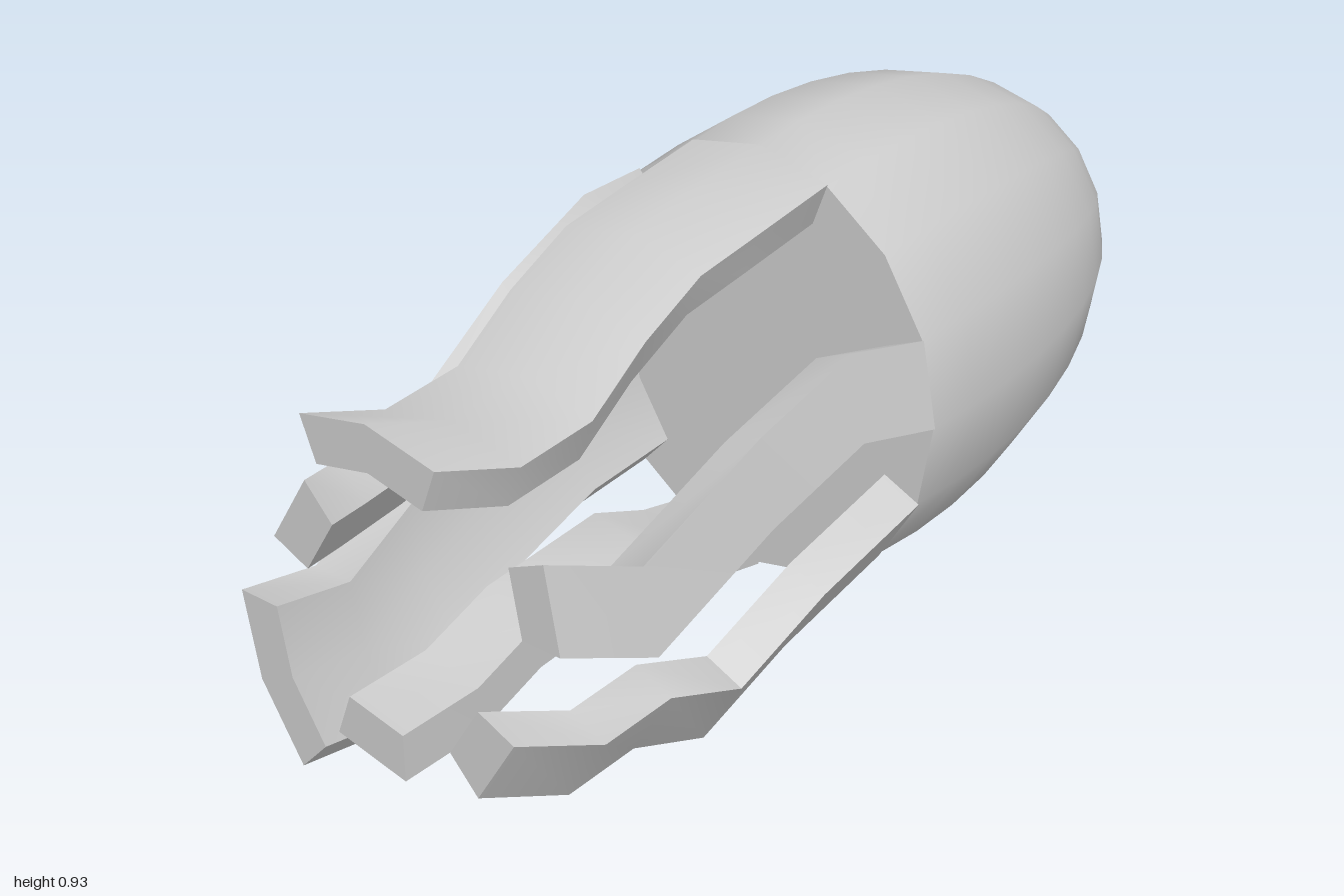
import * as THREE from 'three';
import { toCreasedNormals } from 'three/addons/utils/BufferGeometryUtils.js';

const CY = 0.485;      // height of the body axis
const RIM_X = 0.04;    // plane where the arms leave the body
const STEP = Math.PI / 8;
const material = new THREE.MeshStandardMaterial({ color: 0xcccccc, side: THREE.DoubleSide });

function addMesh(group, name, geometry, crease) {
  const mesh = new THREE.Mesh(toCreasedNormals(geometry, crease), material);
  mesh.name = name;
  group.add(mesh);
}

// Egg-shaped body, closed at the rim by a flat face
function bodyGeometry() {
  const profile = [new THREE.Vector2(0, RIM_X)];
  const start = Math.acos((RIM_X - 0.2) / 0.8);
  for (let i = 0; i <= 12; i++) {
    const t = start * (1 - i / 12);
    profile.push(new THREE.Vector2(Math.max(0, Math.sin(t)), 0.2 + 0.8 * Math.cos(t)));
  }
  const geo = new THREE.LatheGeometry(profile, 16);
  geo.rotateZ(-Math.PI / 2);
  geo.scale(1, 0.45, 0.405);
  geo.translate(0, CY, 0);
  return geo;
}

// Arm: a slice of the rim ring, from step k0 to k1 (0 = top, growing towards +z),
// swept through stations [x, dy, dz]
function armGeometry(k0, k1, stations) {
  const section = [];
  const put = (k, s) => section.push([
    CY + 0.445 * s * Math.cos(k * STEP), 0.4 * s * Math.sin(k * STEP)]);
  for (let k = k0; k <= k1; k++) put(k, 1);
  for (let k = k1; k >= k0; k--) put(k, 0.79);

  const n = section.length, positions = [], index = [];
  for (const [x, dy, dz] of stations)
    for (const [y, z] of section) positions.push(x, y + dy, z + dz);

  for (let i = 0; i < stations.length - 1; i++) {
    for (let j = 0; j < n; j++) {
      const a = i * n + j, b = i * n + (j + 1) % n;
      index.push(a, a + n, b, b, a + n, b + n);
    }
  }
  // flat tip
  const last = (stations.length - 1) * n;
  for (let j = 1; j < n - 1; j++) index.push(last, last + j + 1, last + j);

  const geo = new THREE.BufferGeometry();
  geo.setAttribute('position', new THREE.Float32BufferAttribute(positions, 3));
  geo.setIndex(index);
  return geo;
}

const ARMS = [
  ['topArm', -1, 1, [[-0.16, -0.02, 0], [-0.28, -0.06, -0.03], [-0.43, -0.125, -0.03],
    [-0.57, -0.215, -0.03], [-0.75, -0.22, -0.03], [-0.89, -0.185, -0.09]]],
  ['frontMiddleArm', 4 - 1, 4, [[-0.12, 0.03, -0.04], [-0.34, -0.05, -0.07],
    [-0.63, -0.17, -0.09], [-0.81, -0.1, -0.15]]],
  ['frontLowerArm', 5, 6, [[-0.23, -0.06, -0.01], [-0.43, -0.165, -0.04],
    [-0.61, -0.09, -0.05], [-0.77, -0.1, -0.06], [-0.94, -0.03, -0.11]]],
  ['bottomArm', 8, 9, [[-0.18, 0.07, 0.02], [-0.33, 0.14, 0.03], [-0.63, 0.14, 0.04],
    [-0.8, 0.1, 0.05], [-0.99, 0.11, 0.055]]],
  ['backLowerArm', 10, 12, [[-0.19, 0, 0.01], [-0.45, -0.05, 0.03], [-0.62, -0.09, 0.05],
    [-0.8, -0.155, 0.07], [-1, -0.09, 0.1]]],
  ['backMiddleArm', 13, 14, [[-0.14, 0.02, 0.02], [-0.36, -0.07, 0.015],
    [-0.6, -0.225, 0.01], [-0.78, -0.24, 0.01], [-0.9, -0.21, 0.05]]],
];

export function createModel() {
  const model = new THREE.Group();
  model.name = 'armedEgg';
  addMesh(model, 'body', bodyGeometry(), 0.9);
  for (const [name, k0, k1, path] of ARMS)
    addMesh(model, name, armGeometry(k0, k1, [[RIM_X, 0, 0], ...path]), 0.8);
  return model;
}
